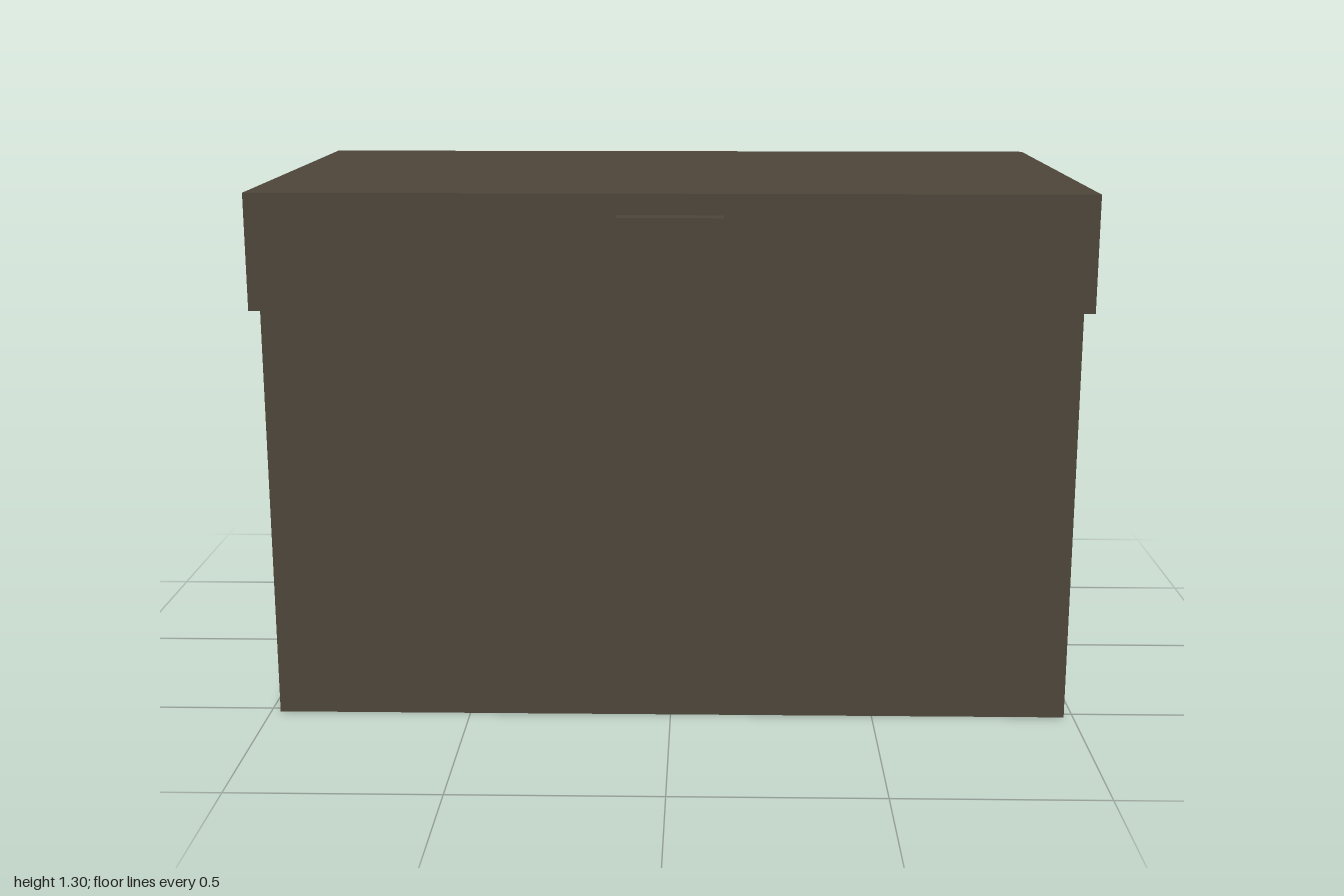
import * as THREE from 'three';

const darkWood = new THREE.MeshStandardMaterial({ color: 0x4e463a });
darkWood.name = 'darkWood';

// Box given by its extents on each axis
function block(name, [x0, x1], [y0, y1], [z0, z1]) {
  const mesh = new THREE.Mesh(new THREE.BoxGeometry(x1 - x0, y1 - y0, z1 - z0), darkWood);
  mesh.position.set((x0 + x1) / 2, (y0 + y1) / 2, (z0 + z1) / 2);
  mesh.name = name;
  return mesh;
}

export function createModel() {
  const chest = new THREE.Group();
  chest.name = 'chest';
  chest.add(
    block('body', [-0.977, 0.977], [0, 1.02], [-0.574, 0.521]),
    // Lid overhangs the body evenly on all sides
    block('lid', [-1, 1], [1.02, 1.3], [-0.597, 0.542]),
    // Latch hangs from the lid, standing clear of the body
    block('latch', [-0.125, 0.125], [0.785, 1.25], [0.538, 0.598]),
  );
  return chest;
}
